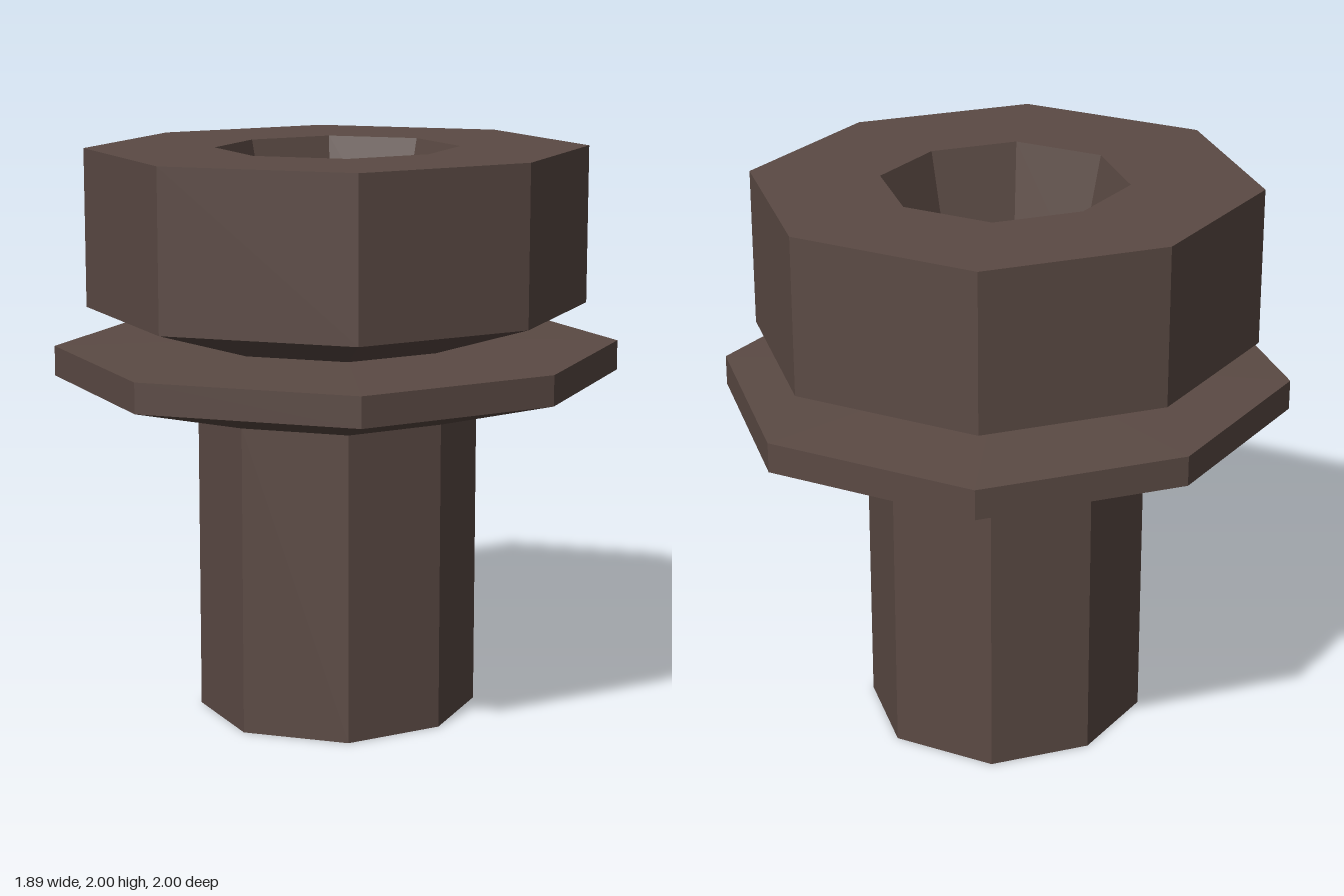
import * as THREE from 'three';

// Eight-sided turned part from a [radius, y] profile, running up the outside
function turned(name, profile, material) {
  const points = profile.map(([r, y]) => new THREE.Vector2(r, y));
  const geometry = new THREE.LatheGeometry(points, 8).toNonIndexed();
  const pos = geometry.attributes.position;
  for (let i = 0; i < pos.count; i++) {
    const x = pos.getX(i), z = pos.getZ(i);
    // The octagon is slightly uneven: narrower on the x axis and diagonals
    if (Math.abs(z) < 1e-6) pos.setX(i, x * 0.945);
    else if (Math.abs(x) > 1e-6) pos.setZ(i, z * 0.984);
  }
  geometry.computeVertexNormals();
  const mesh = new THREE.Mesh(geometry, material);
  mesh.name = name;
  return mesh;
}

export function createModel() {
  const metal = new THREE.MeshStandardMaterial({ color: 0x5b4a44, flatShading: true });
  metal.name = 'dark brown metal';

  const bolt = new THREE.Group();
  bolt.name = 'flangedBolt';
  bolt.add(
    // Plain shank with a closed end
    turned('shank', [[0, 0], [0.496, 0], [0.496, 1.08]], metal),
    // Washer flange, tapered below and nearly flat on top
    turned('flange', [[0.496, 1.08], [1, 1.205], [1, 1.31], [0.47, 1.325]], metal),
    // Head with undercut neck and flat rim
    turned('head', [[0.47, 1.325], [0.885, 1.447], [0.885, 2], [0.43, 2]], metal),
    // Tapered drive socket sunk into the head
    turned('socket', [[0.43, 2], [0.333, 1.58], [0, 1.58]], metal),
  );
  return bolt;
}
